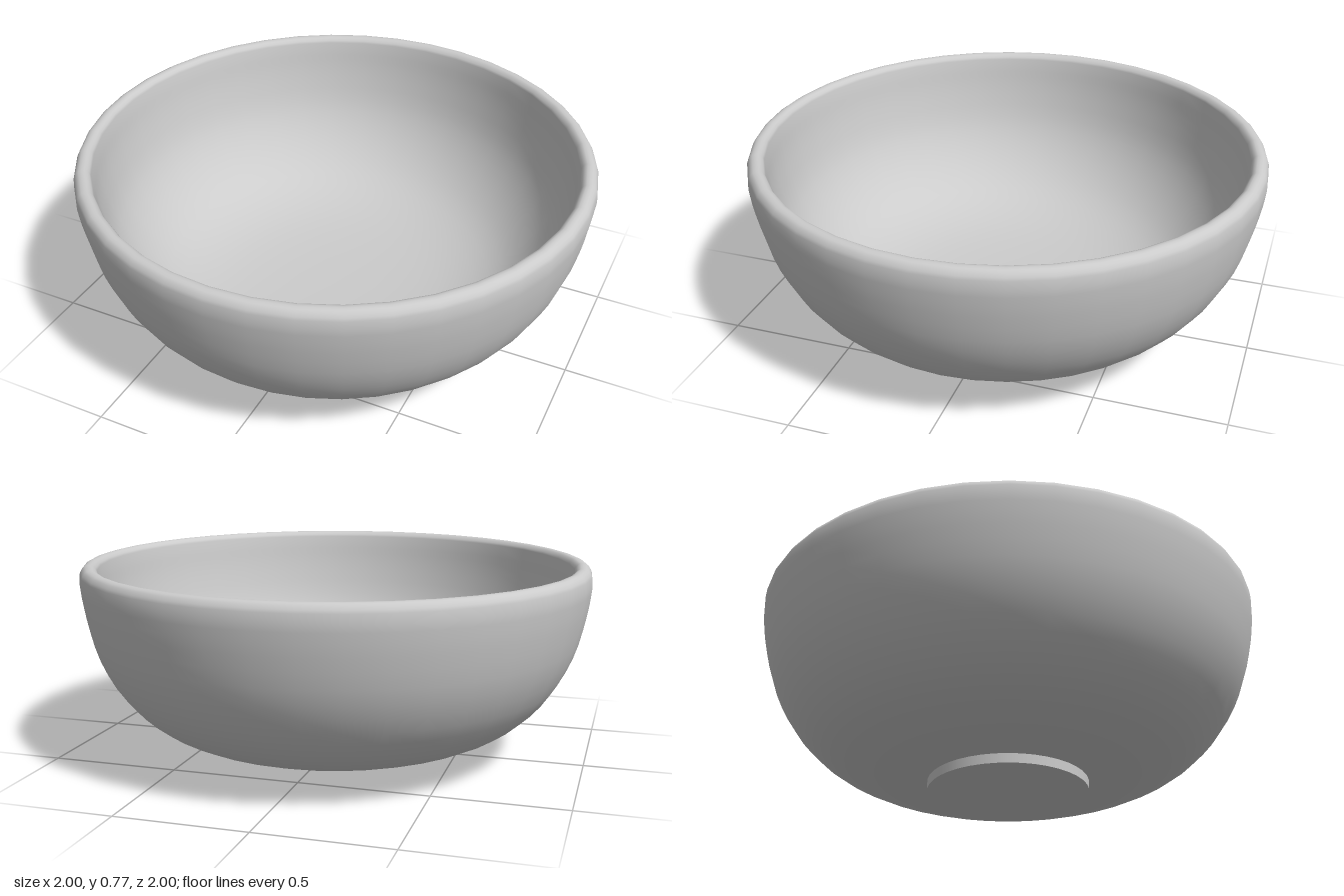
import * as THREE from 'three';

const SIDES = 40;

// Smooth run of profile points through a few control points
function curve(points, divisions) {
  return new THREE.SplineCurve(points.map(([x, y]) => new THREE.Vector2(x, y))).getPoints(divisions);
}

export function createModel() {
  const group = new THREE.Group();
  group.name = 'bowl';
  const material = new THREE.MeshStandardMaterial({ color: 0xcccccc });

  // Outer wall, from the foot up to below the rim
  const outer = curve([
    [0.3, 0.036], [0.51, 0.06], [0.71, 0.135], [0.85, 0.26],
    [0.94, 0.42], [0.985, 0.59], [1, 0.7],
  ], 18);
  // Rounded rim
  const rim = curve([[0.997, 0.735], [0.985, 0.758], [0.965, 0.767], [0.945, 0.763], [0.932, 0.745]], 8);
  // Inner wall, down to the middle of the floor
  const inner = curve([
    [0.925, 0.69], [0.91, 0.59], [0.87, 0.44], [0.785, 0.3],
    [0.66, 0.19], [0.48, 0.125], [0.25, 0.1], [0, 0.095],
  ], 20);
  inner[inner.length - 1].x = 0;

  const body = new THREE.Mesh(new THREE.LatheGeometry([...outer, ...rim, ...inner], SIDES), material);
  body.name = 'bowlBody';

  // Low solid foot under the body
  const footHeight = 0.042;
  const foot = new THREE.Mesh(new THREE.CylinderGeometry(0.317, 0.317, footHeight, SIDES), material);
  foot.position.y = footHeight / 2;
  foot.name = 'foot';

  group.add(body, foot);
  return group;
}
